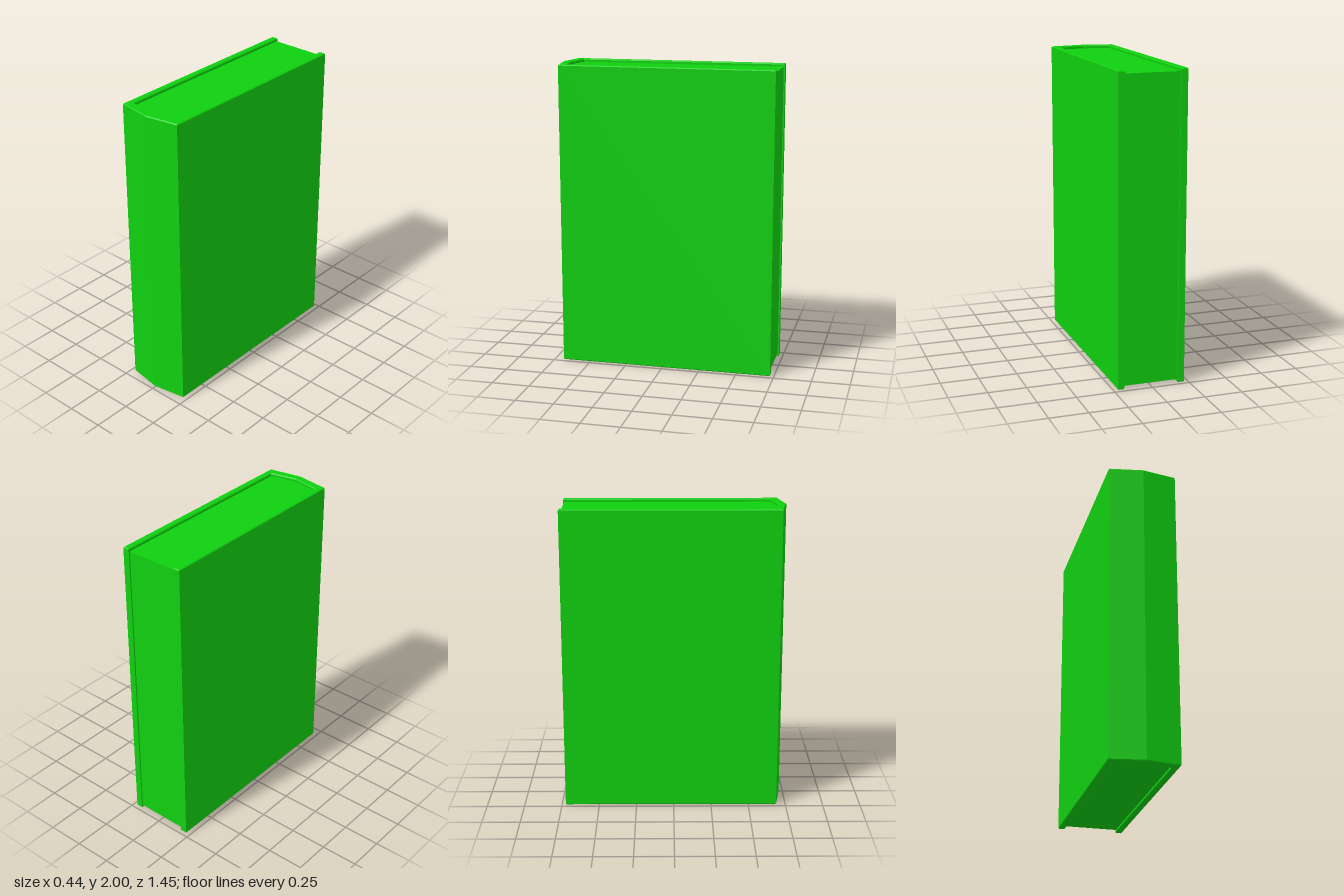
import * as THREE from 'three';

const BEVEL = 0.006;

// Extrudes a plan outline of [x, z] points upward from y0 to y1
function upright(name, points, y0, y1, bevel, material) {
  const shape = new THREE.Shape(points.map(([x, z]) => new THREE.Vector2(x, -z)));
  const geometry = new THREE.ExtrudeGeometry(shape, {
    depth: y1 - y0 - 2 * bevel,
    bevelEnabled: bevel > 0,
    bevelThickness: bevel,
    bevelSize: bevel,
    bevelOffset: -bevel,
    bevelSegments: 1,
  });
  geometry.rotateX(-Math.PI / 2);
  geometry.translate(0, y0 + bevel, 0);
  const mesh = new THREE.Mesh(geometry, material);
  mesh.name = name;
  return mesh;
}

export function createModel() {
  const book = new THREE.Group();
  book.name = 'book';
  const material = new THREE.MeshStandardMaterial({ color: 0x10d010 });

  // U-shaped cover: two boards joined by a spine with a shallow ridge
  book.add(upright('cover', [
    [-0.222, -0.725], [-0.222, 0.688], [0, 0.725], [0.222, 0.688], [0.222, -0.725],
    [0.178, -0.725], [0.178, 0.636], [0, 0.67], [-0.178, 0.636], [-0.178, -0.725],
  ], 0, 2, BEVEL, material));

  // Page block, slightly recessed at the top, bottom and open edge
  book.add(upright('pages', [
    [-0.18, -0.716], [-0.18, 0.638], [0, 0.672], [0.18, 0.638], [0.18, -0.716],
  ], 0.02, 1.98, 0, material));

  return book;
}
